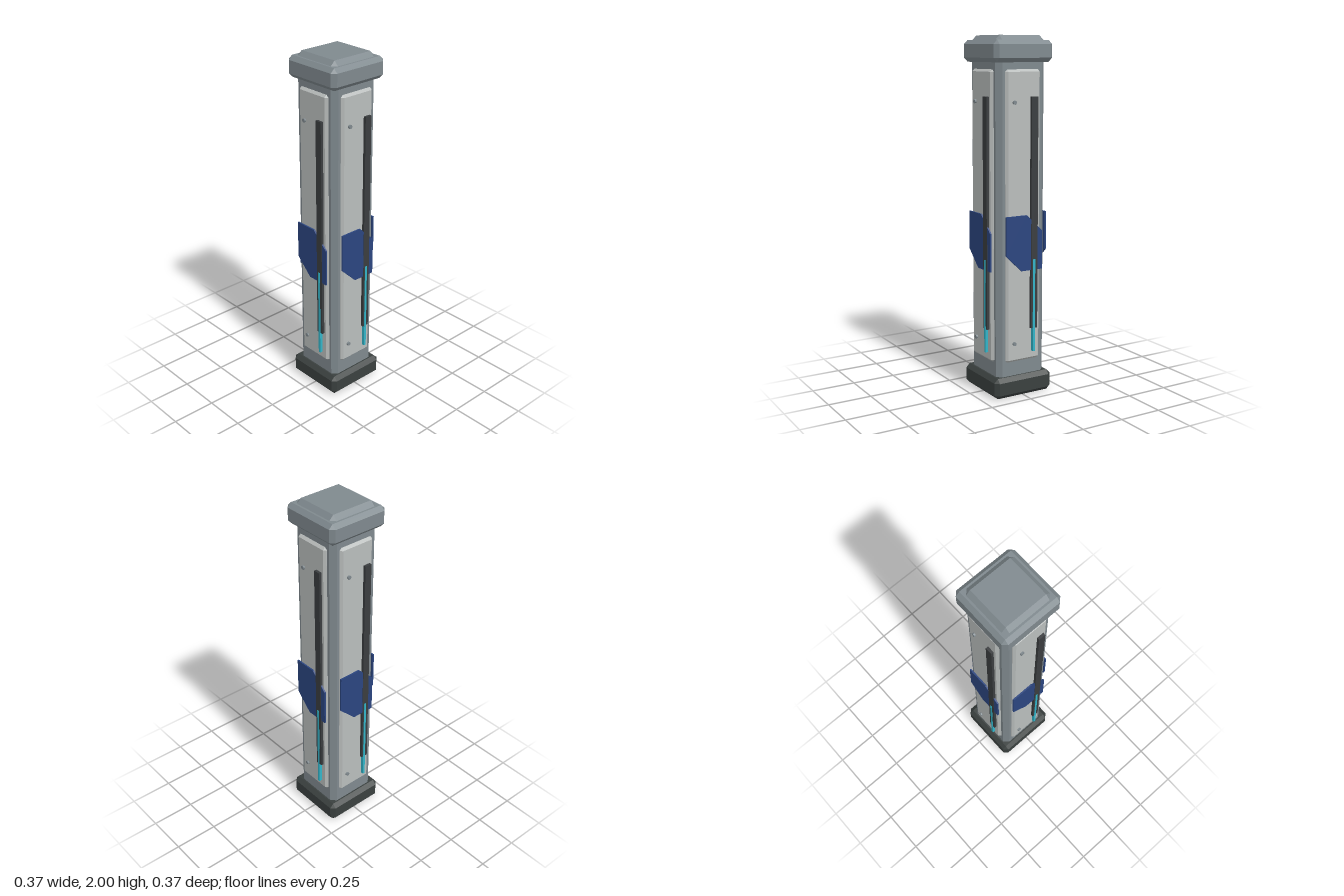
import * as THREE from 'three';
import { ConvexGeometry } from 'three/addons/geometries/ConvexGeometry.js';

const mat = (name, color) => {
  const m = new THREE.MeshStandardMaterial({ color, flatShading: true });
  m.name = name;
  return m;
};

// Box with every edge cut by c, spanning y0..y1
function bevelBox(w, y0, y1, d, c) {
  const h = y1 - y0, pts = [];
  for (const sx of [-1, 1]) for (const sy of [-1, 1]) for (const sz of [-1, 1]) {
    const x = w / 2, y = h / 2, z = d / 2;
    pts.push(new THREE.Vector3(sx * x, sy * (y - c), sz * (z - c)));
    pts.push(new THREE.Vector3(sx * (x - c), sy * y, sz * (z - c)));
    pts.push(new THREE.Vector3(sx * (x - c), sy * (y - c), sz * z));
  }
  return new ConvexGeometry(pts).translate(0, (y0 + y1) / 2, 0);
}

// Plain slab from its limits
function slab(x0, x1, y0, y1, z0, z1) {
  return new THREE.BoxGeometry(x1 - x0, y1 - y0, z1 - z0)
    .translate((x0 + x1) / 2, (y0 + y1) / 2, (z0 + z1) / 2);
}

export function createModel() {
  const steel = mat('steel grey', 0x7f898e);
  const light = mat('light panel grey', 0xb9bdbc);
  const base = mat('base charcoal', 0x3a403f);
  const dark = mat('groove black', 0x3a3d3f);
  const blue = mat('marking blue', 0x2b457f);
  const cyan = mat('light strip cyan', 0x32b4c8);

  const model = new THREE.Group();
  const add = (parent, name, geometry, material) => {
    const mesh = new THREE.Mesh(geometry, material);
    mesh.name = name;
    parent.add(mesh);
    return mesh;
  };

  // Post, foot and stepped cap
  add(model, 'base', bevelBox(0.368, 0, 0.118, 0.368, 0.023), base);
  add(model, 'core', bevelBox(0.306, 0.06, 1.9, 0.306, 0.028), steel);
  add(model, 'cap', bevelBox(0.368, 1.857, 1.975, 0.368, 0.023), steel);
  add(model, 'capTop', bevelBox(0.3, 1.92, 2, 0.3, 0.025), steel);

  // Angular marking with two cut corners
  const outline = [[-0.118, 1.03], [0.015, 1.03], [0.114, 0.935], [0.114, 0.72], [-0.02, 0.72], [-0.118, 0.815]];
  const marking = new THREE.ExtrudeGeometry(
    new THREE.Shape(outline.map(([x, y]) => new THREE.Vector2(x, y))),
    { depth: 0.009, bevelEnabled: false }).translate(0, 0, 0.172);

  const panel = bevelBox(0.218, 0.2, 1.82, 0.06, 0.013).translate(0, 0, 0.138);
  const groove = slab(0.042, 0.083, 0.385, 1.675, 0.16, 0.1835);
  const strip = slab(0.053, 0.067, 0.25, 0.78, 0.166, 0.1855);
  const screw = new THREE.CylinderGeometry(0.011, 0.011, 0.02, 10).rotateX(Math.PI / 2);

  // The same fittings on all four sides
  ['front', 'left', 'back', 'right'].forEach((side, i) => {
    const face = new THREE.Group();
    face.name = side + 'Side';
    face.rotation.y = i * Math.PI / 2;
    add(face, 'panel', panel, light);
    add(face, 'groove', groove, dark);
    add(face, 'marking', marking, blue);
    add(face, 'lightStrip', strip, cyan);
    for (const y of [0.307, 1.645]) add(face, 'screw', screw, steel).position.set(-0.06, y, 0.168);
    model.add(face);
  });
  return model;
}
